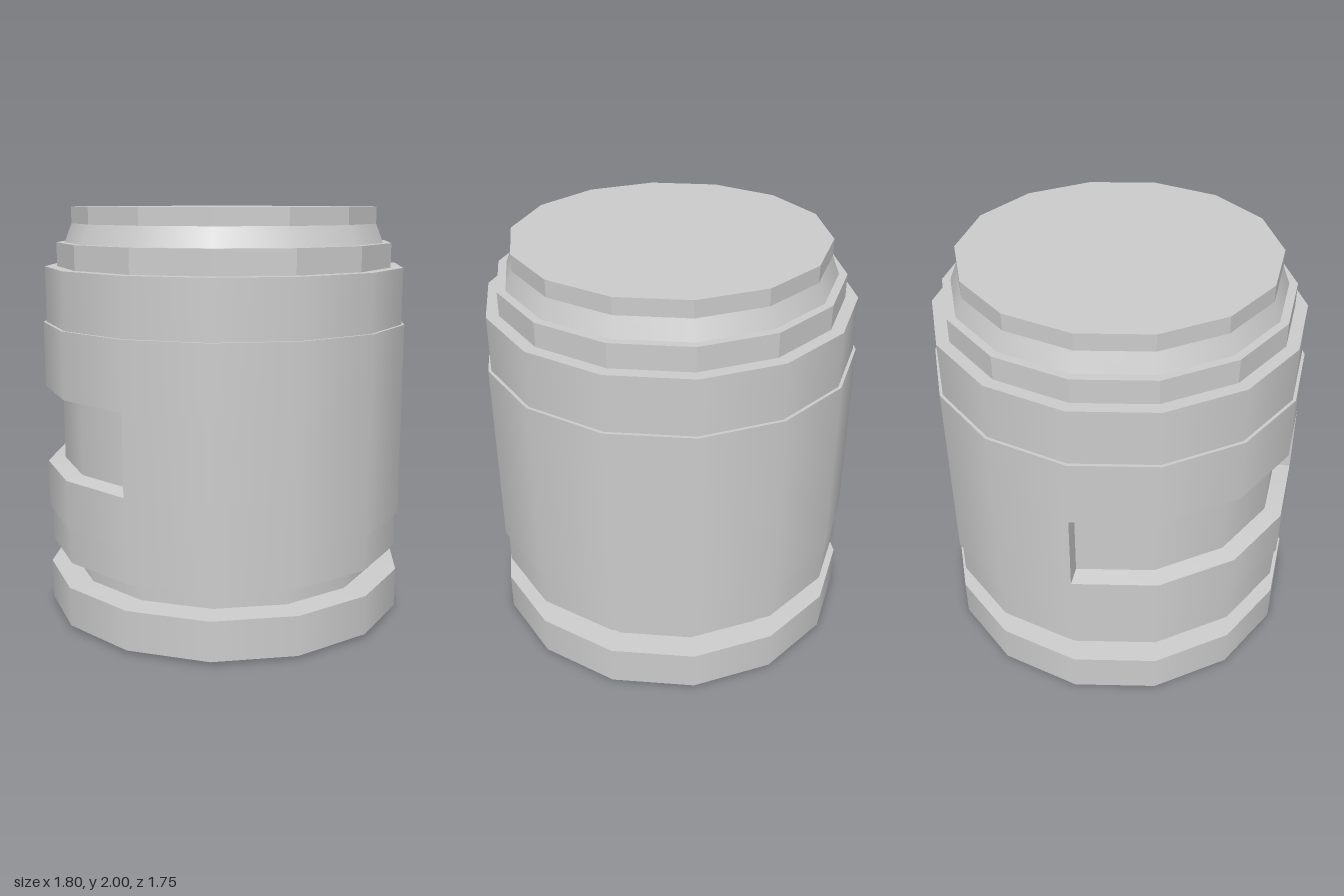
import * as THREE from 'three';
import { mergeGeometries } from 'three/addons/utils/BufferGeometryUtils.js';

const SIDES = 14;
const STEP = (Math.PI * 2) / SIDES;

// Turn a profile of [radius, height] points; each band keeps a crisp edge to the next.
function turned(profile, startStep = 3.5, steps = SIDES) {
  const bands = [];
  for (let i = 0; i < profile.length - 1; i++) {
    const pair = [profile[i], profile[i + 1]].map(([r, y]) => new THREE.Vector2(r, y));
    bands.push(new THREE.LatheGeometry(pair, steps, startStep * STEP, steps * STEP));
  }
  return mergeGeometries(bands);
}

export function createModel() {
  const group = new THREE.Group();
  const smooth = new THREE.MeshStandardMaterial({ color: 0xcccccc });
  const faceted = new THREE.MeshStandardMaterial({ color: 0xcccccc, flatShading: true });
  const thin = new THREE.MeshStandardMaterial({ color: 0xcccccc, side: THREE.DoubleSide });

  function add(name, geometry, material = smooth) {
    const mesh = new THREE.Mesh(geometry, material);
    mesh.name = name;
    group.add(mesh);
  }

  // Foot disc with a very slightly domed underside, and the groove above it
  add('base', turned([[0, 0], [0.9, 0.015], [0.9, 0.208], [0.775, 0.214]]));
  add('neck', turned([[0.775, 0.21], [0.775, 0.29], [0.885, 0.33]]));

  // Body steps below and above the sleeve
  add('lowerBody', turned([[0.885, 0.33], [0.885, 0.505], [0.9, 0.505]]));
  add('upperBody', turned([[0.9, 1.445], [0.885, 1.445], [0.885, 1.715], [0.825, 1.715]]));

  // Wide sleeve, interrupted by a slot over four sides
  const slotLow = 0.74, slotHigh = 1.125;
  add('sleeveLower', turned([[0.9, 0.505], [0.9, slotLow]]));
  add('sleeveMiddle', turned([[0.9, slotLow], [0.9, slotHigh]], 0.5, 10));
  add('sleeveUpper', turned([[0.9, slotHigh], [0.9, 1.445]]));

  // Slot floor, back wall and ceiling
  const slot = [[0.9, slotLow], [0.815, 0.755], [0.815, slotHigh], [0.9, slotHigh]];
  add('slot', turned(slot, -3.5, 4));

  // Radial walls closing both ends of the slot
  const endShape = new THREE.Shape(slot.map(([r, y]) => new THREE.Vector2(r, y)));
  for (const [name, at] of [['slotEndLeft', 0.5], ['slotEndRight', -3.5]]) {
    add(name, new THREE.ShapeGeometry(endShape).rotateY(at * STEP - Math.PI / 2), thin);
  }

  // Faceted collar and tapered cap
  add('collar', turned([[0.825, 1.715], [0.825, 1.83], [0.785, 1.83]]), faceted);
  add('capTaper', turned([[0.785, 1.83], [0.75, 1.92]]));
  add('cap', turned([[0.75, 1.92], [0.75, 2], [0, 2]]), faceted);

  return group;
}
